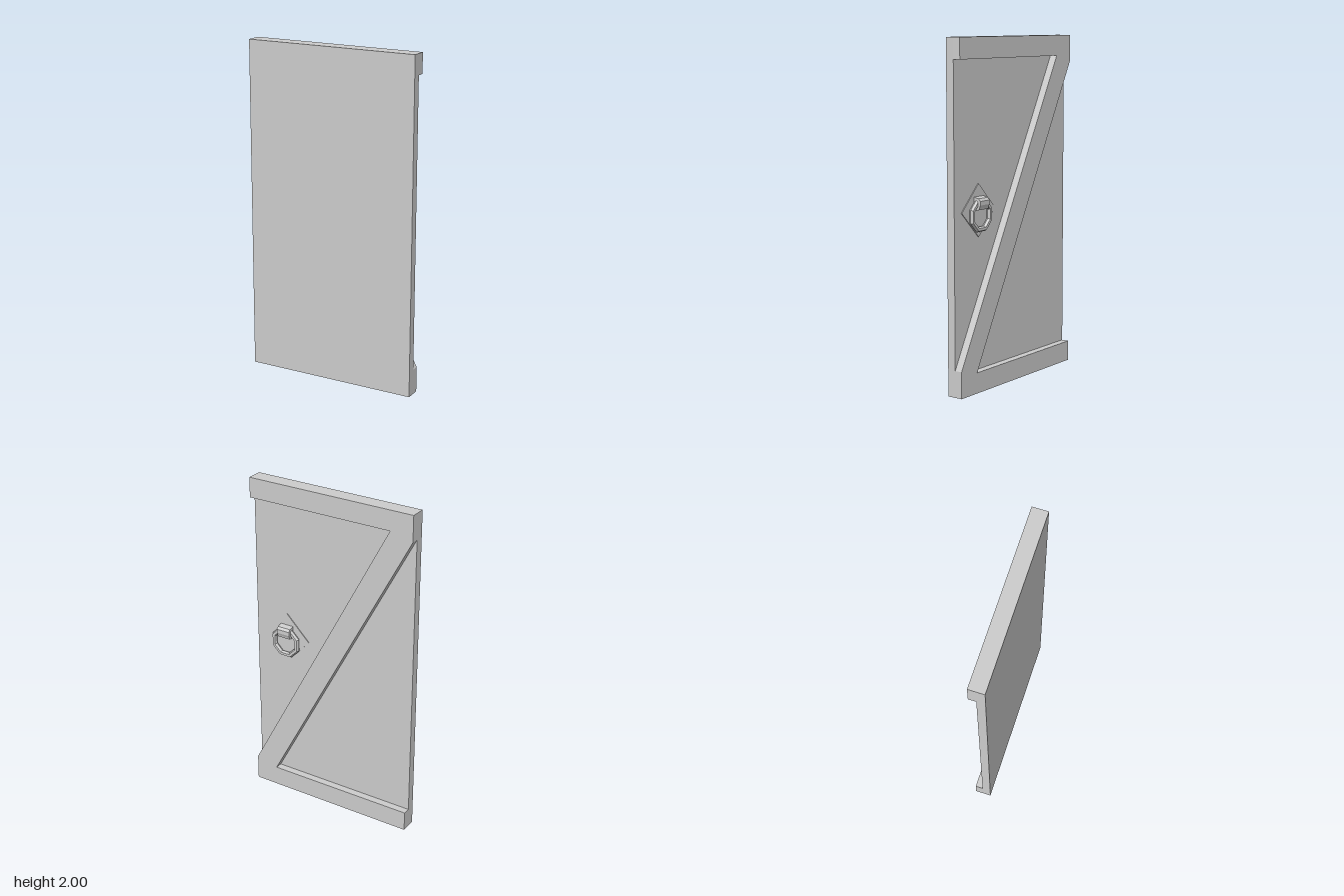
import * as THREE from 'three';

const HALF_W = 0.53;
const HEIGHT = 2;
const FRONT = 0.05;
const BACK = -0.045;
const RAIL = 0.12;

function shapeFrom(points) {
  return new THREE.Shape(points.map(([x, y]) => new THREE.Vector2(x, y)));
}

export function createModel() {
  const door = new THREE.Group();
  door.name = 'door';
  const material = new THREE.MeshStandardMaterial({ color: 0xcccccc, flatShading: true });
  const add = (name, geometry, parent = door) => {
    const mesh = new THREE.Mesh(geometry, material);
    mesh.name = name;
    parent.add(mesh);
    return mesh;
  };

  // Flat door leaf, z = 0 to the front face
  add('panel', new THREE.BoxGeometry(HALF_W * 2, HEIGHT, FRONT))
    .position.set(0, HEIGHT / 2, FRONT / 2);

  // Z-shaped bracing: half the outline, repeated by a half turn about the centre
  const half = [
    [-HALF_W, 0],
    [HALF_W, 0],
    [HALF_W, 0.154],
    [-0.389, HEIGHT - RAIL],
    [HALF_W, HEIGHT - RAIL],
  ];
  const outline = [...half, ...half.map(([x, y]) => [-x, HEIGHT - y])];
  add('zBrace', new THREE.ExtrudeGeometry(shapeFrom(outline), { depth: -BACK, bevelEnabled: false }))
    .position.z = BACK;

  // Ring handle on the back
  const handle = new THREE.Group();
  handle.name = 'handle';
  handle.position.set(0.318, 1.035, 0);
  door.add(handle);

  // Thin diamond plate
  const r = 0.152;
  const diamond = shapeFrom([[-r, 0], [0, -r], [r, 0], [0, r]]);
  add('plate', new THREE.ExtrudeGeometry(diamond, { depth: 0.005, bevelEnabled: false }), handle)
    .position.z = -0.005;

  // Octagonal pull ring with flat top and bottom
  const ring = add('ring', new THREE.TorusGeometry(0.084, 0.016, 6, 8), handle);
  ring.position.set(0, -0.027, -0.02);
  ring.rotation.z = Math.PI / 8;

  // Faceted bracket holding the ring; profile is (outward depth, height)
  const profile = shapeFrom([
    [0, 0.005], [0.04, 0.008], [0.043, 0.02], [0.05, 0.035],
    [0.05, 0.058], [0.038, 0.072], [0, 0.08],
  ]);
  const bracket = add('ringBracket', new THREE.ExtrudeGeometry(profile, { depth: 0.085, bevelEnabled: false }), handle);
  bracket.rotation.y = Math.PI / 2;
  bracket.position.x = -0.0425;

  return door;
}
